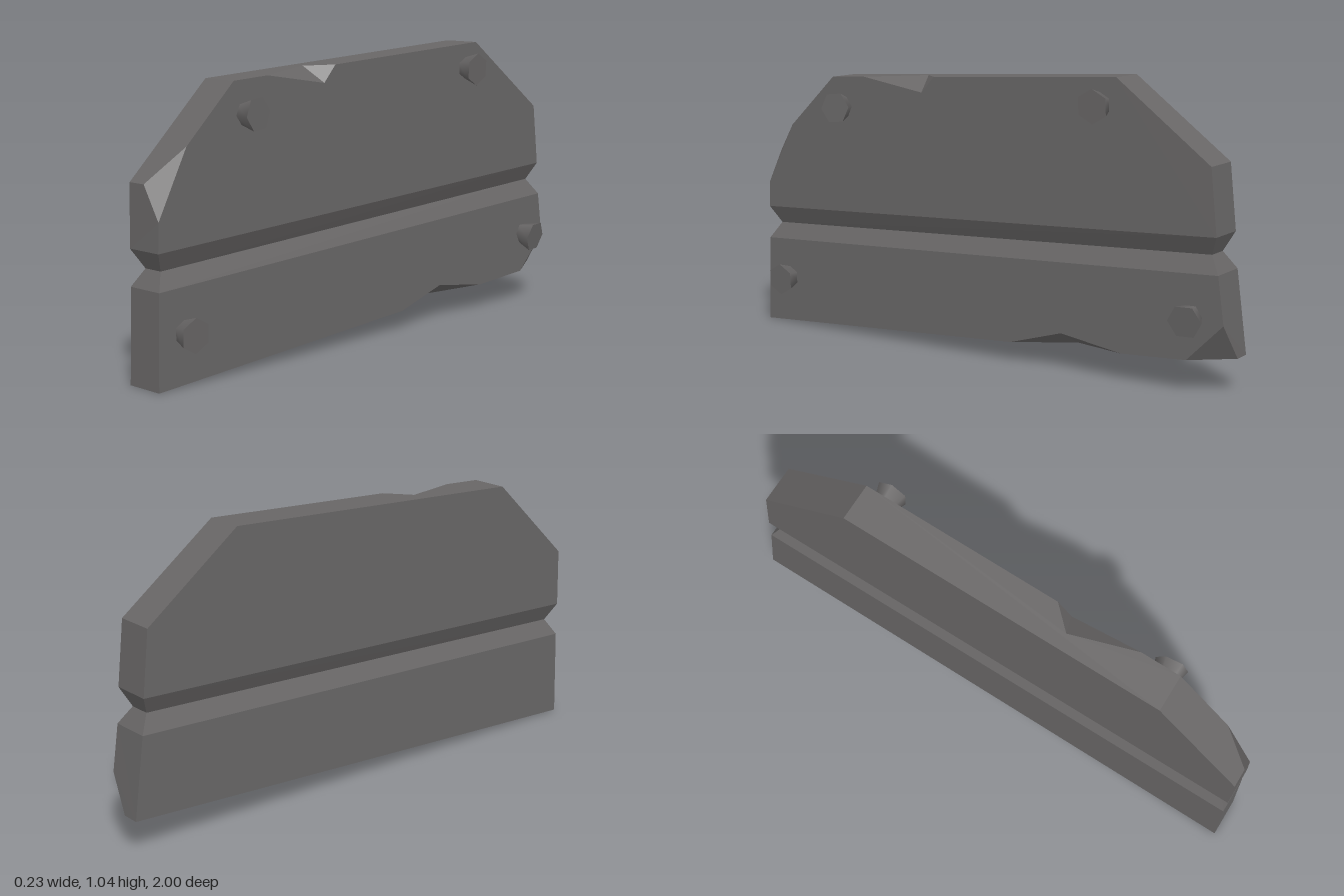
import * as THREE from 'three';

// Points on the plate's two broad sides, given as (z, y); the plate drifts slightly in x.
const drift = (z) => 0.01 * (1 - z);
const R = (z, y, inset = 0) => new THREE.Vector3(0.033 + drift(z) - 0.006 * y - inset, y, z);
const L = (z, y, inset = 0) => new THREE.Vector3(-0.11 + drift(z) * 0.8 + inset, y, z);
const P = (x, y, z) => new THREE.Vector3(x, y, z);
const GROOVE = 0.033;

// Builds a flat-faced solid from polygon loops, each turned away from the centre.
function facetedGeometry(loops, centre) {
  const out = [];
  for (const loop of loops) {
    const normal = new THREE.Vector3();
    const middle = new THREE.Vector3();
    loop.forEach((p, i) => {
      normal.add(p.clone().cross(loop[(i + 1) % loop.length]));
      middle.addScaledVector(p, 1 / loop.length);
    });
    if (normal.dot(middle.sub(centre)) < 0) normal.negate();
    const n = normal.toArray().map(Math.abs);
    const drop = n.indexOf(Math.max(...n));
    const [u, v] = [0, 1, 2].filter((k) => k !== drop);
    const flat = loop.map((p) => new THREE.Vector2(p.getComponent(u), p.getComponent(v)));
    for (const [a, b, c] of THREE.ShapeUtils.triangulateShape(flat, [])) {
      const [A, B, C] = [loop[a], loop[b], loop[c]];
      const facing = B.clone().sub(A).cross(C.clone().sub(A)).dot(normal);
      for (const p of facing > 0 ? [A, B, C] : [A, C, B]) out.push(p.x, p.y, p.z);
    }
  }
  const geometry = new THREE.BufferGeometry();
  geometry.setAttribute('position', new THREE.Float32BufferAttribute(out, 3));
  geometry.computeVertexNormals();
  return geometry;
}

// Slopes running from a half's edge into the groove, with the narrowed ends.
function grooveFaces(front, back) {
  const f = [0.955, 0.385, GROOVE];
  const b = [-0.92, 0.475, GROOVE];
  return [
    [R(...front), R(...back), R(...b), R(...f)],
    [L(...front), L(...back), L(...b), L(...f)],
    [R(...front), L(...front), L(...f), R(...f)],
    [R(...back), L(...back), L(...b), R(...b)],
  ];
}

function upperPlate() {
  const front = [0.99, 0.45], shoulder = [0.985, 0.665], topFront = [0.66, 0.975];
  const topBack = [-0.565, 1.04], backShoulder = [-0.925, 0.77], back = [-0.95, 0.54];
  // chipped front corner
  const a = P(-0.04, 0.665, 0.985), b = R(0.865, 0.78), c = R(0.986, 0.55);
  // notch in the top edge
  const n1 = R(0.51, 0.983), n2 = R(0.19, 1.0), deep = R(0.245, 0.94), inner = P(-0.045, 0.996, 0.27);
  return facetedGeometry([
    [c, R(...front), R(...back), R(...backShoulder), R(...topBack), n2, deep, n1, R(...topFront), b],
    [front, shoulder, topFront, topBack, backShoulder, back].map((p) => L(...p)),
    [L(...topFront), R(...topFront), n1, inner, n2, R(...topBack), L(...topBack)],
    [L(...topFront), R(...topFront), b, a, L(...shoulder)],
    [L(...shoulder), a, c, R(...front), L(...front)],
    [L(...topBack), R(...topBack), R(...backShoulder), L(...backShoulder)],
    [L(...backShoulder), R(...backShoulder), R(...back), L(...back)],
    [a, b, c],
    [n1, deep, inner],
    [inner, deep, n2],
    ...grooveFaces(front, back),
  ], P(-0.03, 0.72, 0));
}

function lowerPlate() {
  const front = [0.99, 0.325], footFront = [1, 0], footBack = [-1, 0.125], back = [-0.96, 0.415];
  // chipped back corner
  const a = P(-0.03, 0.125, -1), b = R(-0.984, 0.25), c = R(-0.85, 0.1156);
  // notch in the bottom edge
  const n1 = R(-0.15, 0.072), n2 = R(-0.6, 0.1), deep = R(-0.36, 0.135), inner = P(-0.04, 0.086, -0.38);
  return facetedGeometry([
    [R(...front), R(...footFront), n1, deep, n2, c, b, R(...back)],
    [front, footFront, footBack, back].map((p) => L(...p)),
    [L(...footFront), R(...footFront), n1, inner, n2, c, a, L(...footBack)],
    [L(...front), R(...front), R(...footFront), L(...footFront)],
    [L(...back), R(...back), b, a, L(...footBack)],
    [a, b, c],
    [n1, deep, inner],
    [inner, deep, n2],
    ...grooveFaces(front, back),
  ], P(-0.03, 0.22, 0));
}

export function createModel() {
  const model = new THREE.Group();
  model.name = 'boltedPlate';
  const metal = new THREE.MeshStandardMaterial({ color: 0x686666 });
  metal.name = 'dark grey metal';

  const add = (name, geometry) => {
    const mesh = new THREE.Mesh(geometry, metal);
    mesh.name = name;
    model.add(mesh);
    return mesh;
  };
  add('upperPlate', upperPlate());
  add('lowerPlate', lowerPlate());

  // Flared hexagonal bolts: z, y, spin, tilt in y, tilt in z
  const bolts = [
    [0.61, 0.865, 0.1, 0.03, -0.12],
    [-0.505, 0.945, Math.PI / 6, -0.06, -0.03],
    [0.89, 0.18, Math.PI / 6, -0.05, 0.02],
    [-0.865, 0.265, 0, -0.17, -0.12],
  ];
  const boltGeometry = new THREE.CylinderGeometry(0.06, 0.036, 0.07, 6);
  boltGeometry.rotateZ(-Math.PI / 2);
  for (const [z, y, spin, tiltY, tiltZ] of bolts) {
    const bolt = add('bolt', boltGeometry);
    bolt.position.copy(R(z, y)).add(P(0.022, 0, 0));
    const axis = P(1, tiltY, tiltZ).normalize();
    bolt.quaternion.setFromUnitVectors(P(1, 0, 0), axis);
    bolt.rotateX(spin);
  }
  return model;
}
